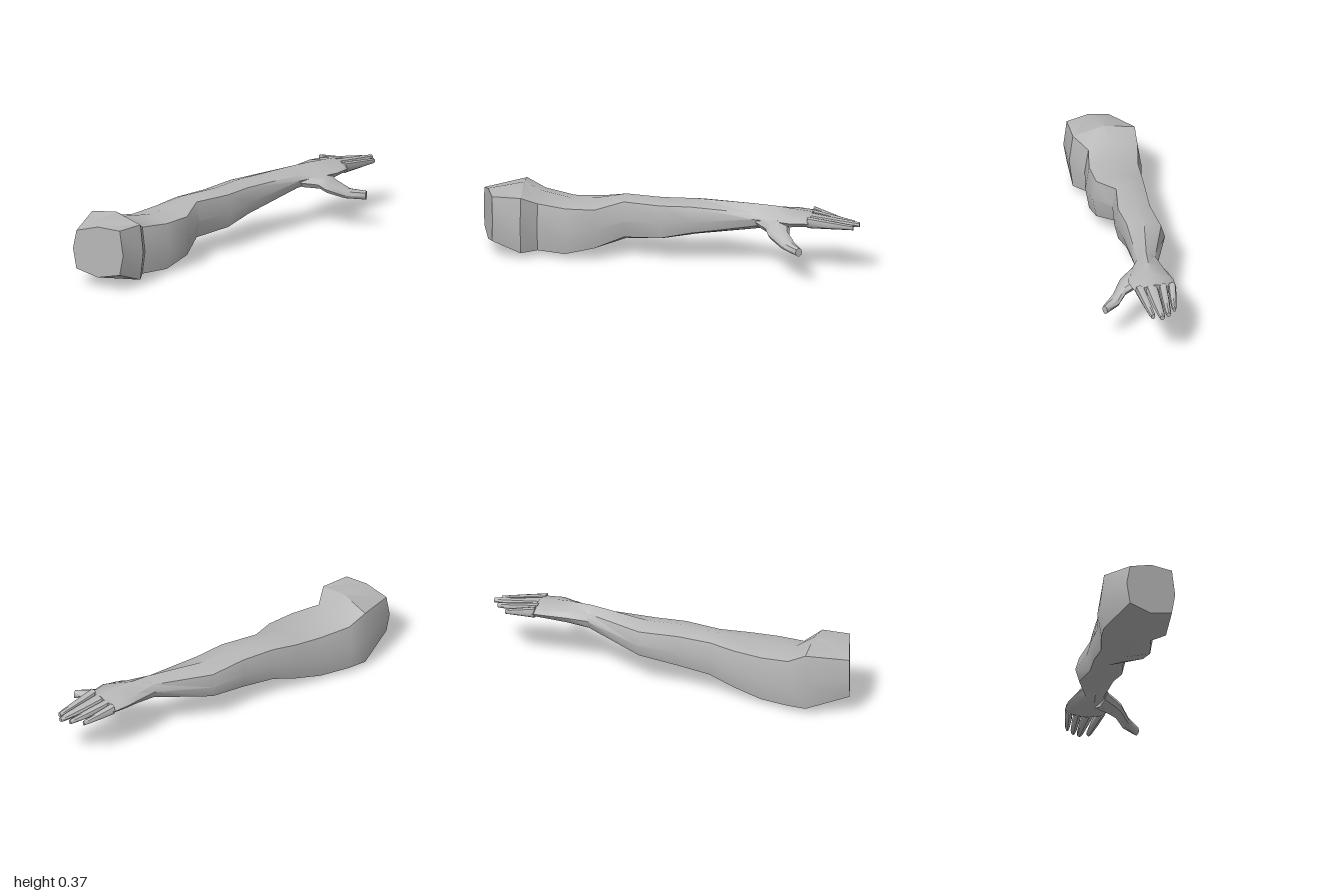
import * as THREE from 'three';
import { toCreasedNormals } from 'three/addons/utils/BufferGeometryUtils.js';

// Eight-point section: four corners, with a slightly bulging midpoint on each side.
// zl/zr and xl/xr place its two sides; dl/dr lower the upper corners below the top.
function section([zl, zr, xl, xr, top, bottom, dl, dr]) {
  const height = top - bottom;
  const width = Math.hypot(xr - xl, zr - zl);
  const inset = Math.min(0.02 / width, 0.12);
  const lift = Math.min(0.03, height * 0.2);
  const mid = (top + bottom) / 2;
  const at = (t, y) => new THREE.Vector3(xl + (xr - xl) * t, y, zl + (zr - zl) * t);
  return [
    at(1, mid), at(1 - inset, top - dr), at(0.5, top), at(inset, top - dl),
    at(0, mid), at(inset, bottom + lift), at(0.5, bottom), at(1 - inset, bottom + lift),
  ];
}

// Skin a row of sections and close both ends.
function loft(rows) {
  const rings = rows.map(section);
  const n = 8;
  const points = rings.flat();
  const index = [];
  for (let i = 0; i < rings.length - 1; i++) {
    for (let j = 0; j < n; j++) {
      const a = i * n + j, a2 = i * n + (j + 1) % n;
      index.push(a, a + n, a2, a2, a + n, a2 + n);
    }
  }
  const addCap = (ringIndex, flip) => {
    const centre = new THREE.Vector3();
    rings[ringIndex].forEach((p) => centre.addScaledVector(p, 1 / n));
    const c = points.push(centre) - 1;
    for (let j = 0; j < n; j++) {
      const a = ringIndex * n + j, b = ringIndex * n + (j + 1) % n;
      index.push(c, flip ? b : a, flip ? a : b);
    }
  };
  addCap(0, false);
  addCap(rings.length - 1, true);
  const geometry = new THREE.BufferGeometry().setFromPoints(points);
  geometry.setIndex(index);
  return toCreasedNormals(geometry, 0.68);
}

export function createModel() {
  const model = new THREE.Group();
  model.name = 'arm';
  const skin = new THREE.MeshStandardMaterial({ color: 0xb8b8b8 });
  skin.name = 'plain grey';

  const add = (name, rows, parent = model) => {
    const mesh = new THREE.Mesh(loft(rows), skin);
    mesh.name = name;
    parent.add(mesh);
  };

  // Shoulder end, upper arm, elbow, forearm, wrist and palm
  add('armAndPalm', [
    [1.0, 0.9, -0.137, 0.135, 0.337, 0.062, 0.037, 0.004],
    [0.79, 0.755, -0.238, 0.132, 0.366, 0.003, 0.032, 0.034],
    [0.69, 0.68, -0.235, 0.065, 0.315, 0.002, 0.03, 0.03],
    [0.53, 0.53, -0.207, 0.09, 0.296, 0.0, 0.03, 0.02],
    [0.38, 0.38, -0.2, 0.08, 0.306, 0.038, 0.03, 0.03],
    [0.24, 0.24, -0.19, 0.003, 0.325, 0.083, 0.03, 0.02],
    [0.06, 0.04, -0.18, 0.03, 0.325, 0.1, 0.03, 0.02],
    [-0.15, -0.11, -0.2, 0.014, 0.325, 0.132, 0.03, 0.02],
    [-0.46, -0.45, -0.105, 0.018, 0.335, 0.2, 0.03, 0.04],
    [-0.57, -0.55, -0.13, 0.06, 0.333, 0.225, 0.03, 0.04],
    [-0.66, -0.65, -0.147, 0.09, 0.326, 0.24, 0.025, 0.03],
    [-0.75, -0.75, -0.147, 0.068, 0.313, 0.246, 0.02, 0.015],
  ]);

  // Thumb, reaching outward and down from the wrist
  add('thumb', [
    [-0.61, -0.46, -0.02, 0.02, 0.3, 0.21, 0.02, 0.02],
    [-0.65, -0.525, 0.06, 0.08, 0.285, 0.205, 0.015, 0.015],
    [-0.655, -0.545, 0.1, 0.115, 0.26, 0.188, 0.012, 0.012],
    [-0.7, -0.62, 0.145, 0.168, 0.215, 0.16, 0.01, 0.01],
    [-0.745, -0.715, 0.215, 0.236, 0.202, 0.154, 0.008, 0.008],
  ]);

  // Fingers: base left/right x, tip left/right x, tip z, tip top y
  const fingers = new THREE.Group();
  fingers.name = 'fingers';
  model.add(fingers);
  const fingerRows = {
    littleFinger: [-0.146, -0.104, -0.115, -0.096, -0.91, 0.262],
    ringFinger: [-0.099, -0.055, -0.077, -0.052, -0.967, 0.27],
    middleFinger: [-0.05, 0.014, -0.04, -0.012, -1.0, 0.276],
    indexFinger: [0.021, 0.067, 0.005, 0.03, -0.975, 0.272],
  };
  for (const [name, [bl, br, tl, tr, tipZ, tipY]] of Object.entries(fingerRows)) {
    const mix = THREE.MathUtils.lerp;
    const row = (t, bulge) => {
      const z = mix(-0.74, tipZ, t);
      return [z, z, mix(bl, tl, t) - bulge, mix(br, tr, t) + bulge,
        mix(0.311, tipY, t), mix(0.25, tipY - 0.027, t), 0.005, 0.005];
    };
    add(name, [row(0, 0), row(0.5, 0.003), row(0.9, 0.002), row(1, -0.002)], fingers);
  }

  return model;
}
